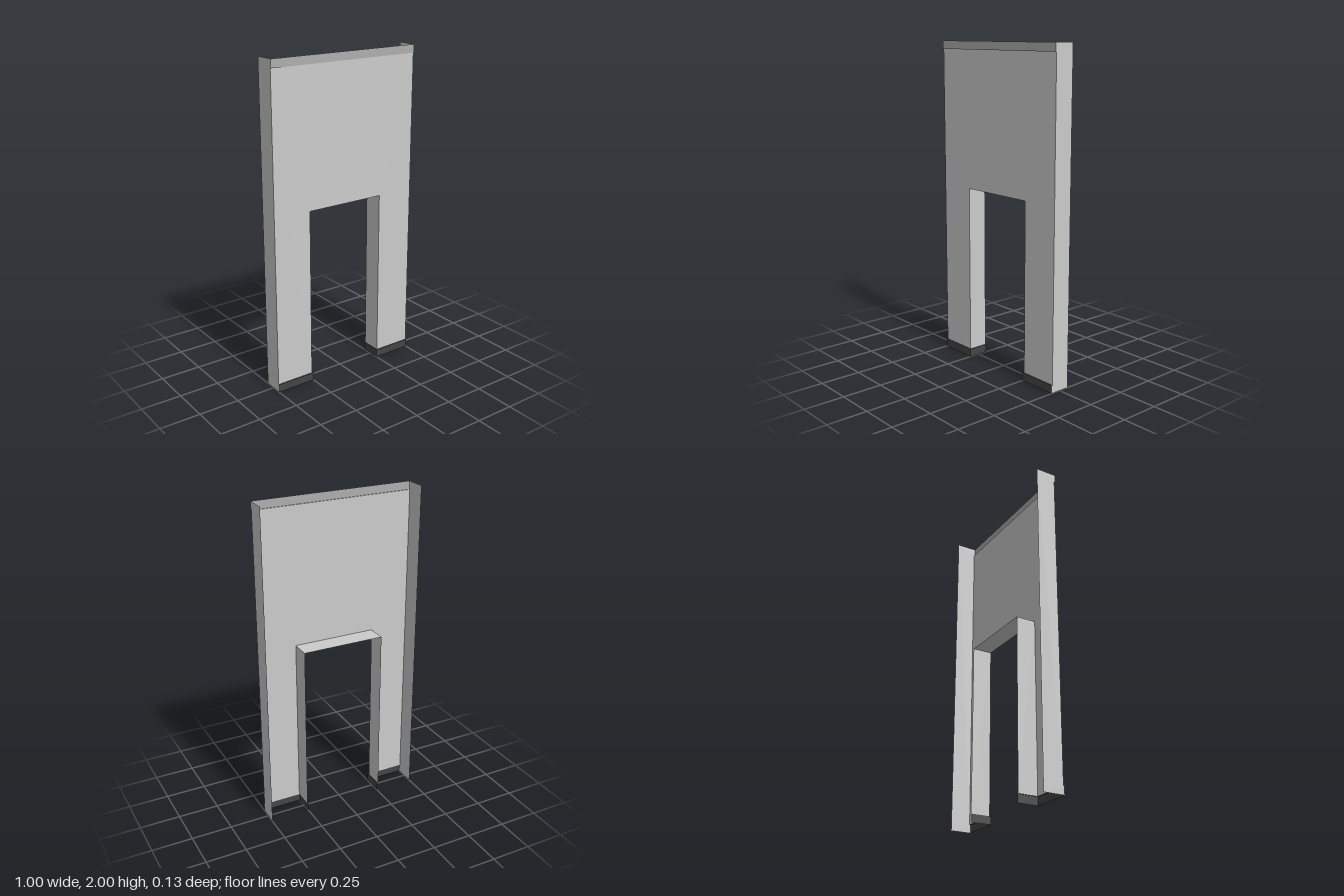
import * as THREE from 'three';

const W = 0.5, H = 2, BACK = -0.065, FACE = 0.059, LIP = 0.065;   // overall sizes and depth planes
const IN = 0.257, BASE_IN = 0.251, ARCH = 1.102;                  // doorway opening
const BASE_Y = 0.05, TRIM_Y = 1.95;                               // skirting and top trim heights

const material = (color) => new THREE.MeshStandardMaterial({ color, flatShading: true, side: THREE.DoubleSide });

// Flat sheet from a list of 2D corners; place() maps each corner into space
function sheet(name, corners, place, mat) {
  const shape = new THREE.Shape(corners.map(([a, b]) => new THREE.Vector2(a, b)));
  const geo = new THREE.ShapeGeometry(shape);
  const pos = geo.attributes.position;
  for (let i = 0; i < pos.count; i++) pos.setXYZ(i, ...place(pos.getX(i), pos.getY(i)));
  geo.computeVertexNormals();
  const mesh = new THREE.Mesh(geo, mat);
  mesh.name = name;
  return mesh;
}

const rect = (a0, b0, a1, b1) => [[a0, b0], [a1, b0], [a1, b1], [a0, b1]];
const atZ = (z) => (x, y) => [x, y, z];
const atX = (x) => (z, y) => [x, y, z];
const atY = (y) => (x, z) => [x, y, z];

export function createModel() {
  const model = new THREE.Group();
  model.name = 'doorwayWallPanel';
  const wall = material(0xcccccc), trim = material(0xaeaeae), dark = material(0x444444);

  // Front face with the doorway cut out
  model.add(sheet('frontFace', [
    [-W, BASE_Y], [-IN, BASE_Y], [-IN, ARCH], [IN, ARCH],
    [IN, BASE_Y], [W, BASE_Y], [W, TRIM_Y], [-W, TRIM_Y],
  ], atZ(FACE), wall));

  // Underside of the doorway head
  model.add(sheet('doorwayHead', rect(-IN, BACK, IN, FACE), atY(ARCH), wall));

  // Top trim: raised band and its lower ledge
  const topTrim = new THREE.Group();
  topTrim.name = 'topTrim';
  topTrim.add(
    sheet('topTrimFace', rect(-W, TRIM_Y, W, H), atZ(LIP), trim),
    sheet('topTrimLedge', rect(-W, FACE, W, LIP), atY(TRIM_Y), trim),
  );
  model.add(topTrim);

  for (const [side, s] of [['left', 1], ['right', -1]]) {
    // Outer side, stepping forward at skirting and trim
    model.add(sheet(side + 'Side', [
      [BACK, 0], [LIP, 0], [LIP, BASE_Y], [FACE, BASE_Y],
      [FACE, TRIM_Y], [LIP, TRIM_Y], [LIP, H], [BACK, H],
    ], atX(s * W), wall));

    // Inner side of the doorway
    model.add(sheet(side + 'DoorwayJamb', rect(BACK, BASE_Y, FACE, ARCH), atX(s * IN), wall));

    // Skirting wraps from the front into the doorway
    const skirting = new THREE.Group();
    skirting.name = side + 'Skirting';
    skirting.add(
      sheet('skirtingFront', rect(s * BASE_IN, 0, s * W, BASE_Y), atZ(LIP), dark),
      sheet('skirtingReturn', rect(BACK, 0, LIP, BASE_Y), atX(s * BASE_IN), dark),
      sheet('skirtingLedge', [
        [s * W, FACE], [s * W, LIP], [s * BASE_IN, LIP],
        [s * BASE_IN, BACK], [s * IN, BACK], [s * IN, FACE],
      ], atY(BASE_Y), dark),
    );
    model.add(skirting);
  }
  return model;
}
